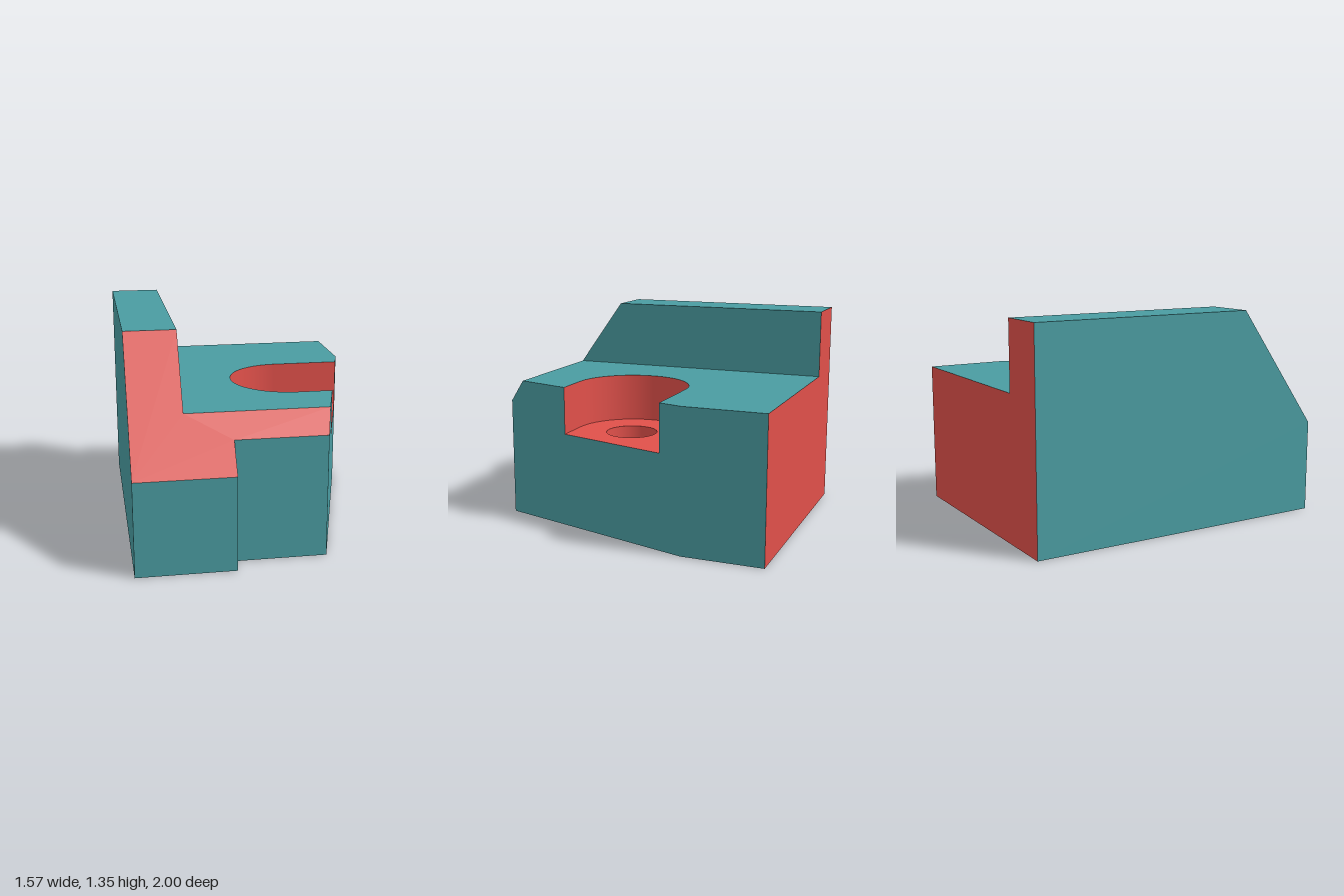
import * as THREE from 'three';

const V = (x, y, z) => new THREE.Vector3(x, y, z);

export function createModel() {
  const group = new THREE.Group();
  const teal = new THREE.MeshStandardMaterial({ color: 0x4a9ca1 });
  const red = new THREE.MeshStandardMaterial({ color: 0xe0504a });
  const redInside = new THREE.MeshStandardMaterial({ color: 0xe0504a, side: THREE.DoubleSide });

  const add = (name, geometry, material) => {
    const mesh = new THREE.Mesh(geometry, material);
    mesh.name = name;
    group.add(mesh);
    return mesh;
  };

  // Flat face through a loop of [x, y, z] corners, turned to look along "out"
  const face = (name, material, out, loop, hole) => {
    const pts = loop.map((p) => V(...p));
    const n = V(0, 0, 0);
    pts.forEach((p, i) => n.add(p.clone().cross(pts[(i + 1) % pts.length])));
    n.normalize();
    if (n.dot(V(...out)) < 0) n.negate();
    const u = V(0, 1, 0).cross(n);
    if (u.length() < 0.01) u.set(1, 0, 0);
    u.normalize();
    const v = n.clone().cross(u);
    const flat = (p) => new THREE.Vector2(p.dot(u), p.dot(v));
    const shape = new THREE.Shape(pts.map(flat));
    if (hole) shape.holes.push(new THREE.Path(hole.map((p) => flat(V(...p)))));
    const basis = new THREE.Matrix4().makeBasis(u, v, n);
    basis.setPosition(n.clone().multiplyScalar(n.dot(pts[0])));
    add(name, new THREE.ShapeGeometry(shape).applyMatrix4(basis), material);
  };

  // Main dimensions
  const W = 0.785, rib = -0.46, notch = -0.175, nose = 0.395;
  const top = 1.35, deck = 0.915, floor = 0.61, lip = 0.59, lipIn = 0.771;
  const zDeck = 0.767, zTop = 0.455, zIn = 0.87, zBend = -0.48;
  const cx = 0.3, cz = 0.0425, R = 0.3675, r = 0.163;
  const zA = cz - R, zB = cz + R;
  const edgeX = (z) => W + ((z - zBend) * (nose - W)) / (zIn - zBend);

  const arc = (rad, y, from, sweep, steps) => Array.from({ length: steps + 1 }, (_, i) => {
    const t = from + (sweep * i) / steps;
    return [cx + rad * Math.sin(t), y, cz + rad * Math.cos(t)];
  });
  const bore = (y) => arc(r, y, 0, Math.PI * 2, 40).slice(0, -1);
  const pocketArc = (y) => arc(R, y, Math.PI, Math.PI, 32);

  // Outer walls
  face('backWall', red, [0, 0, -1], [[-W, 0, -1], [W, 0, -1], [W, deck, -1],
    [rib, deck, -1], [rib, top, -1], [-W, top, -1]]);
  face('ribOuterWall', teal, [-1, 0, 0], [[-W, 0, -1], [-W, 0, 1], [-W, lip, 1],
    [-W, top, zTop], [-W, top, -1]]);
  face('straightSideWall', teal, [1, 0, 0], [[W, 0, -1], [W, 0, zBend],
    [W, deck, zBend], [W, deck, -1]]);
  face('angledSideWall', teal, [1, 0, 0], [[W, 0, zBend], [nose, 0, zIn], [nose, lipIn, zIn],
    [edgeX(zDeck), deck, zDeck], [edgeX(zB), deck, zB], [edgeX(zB), floor, zB],
    [edgeX(zA), floor, zA], [edgeX(zA), deck, zA], [W, deck, zBend]]);
  face('frontWall', teal, [0, 0, 1], [[-W, 0, 1], [notch, 0, 1], [notch, lip, 1], [-W, lip, 1]]);
  face('recessedFrontWall', teal, [0, 0, 1], [[notch, 0, zIn], [nose, 0, zIn],
    [nose, lipIn, zIn], [notch, lipIn, zIn]]);
  face('frontStep', teal, [1, 0, 0], [[notch, 0, zIn], [notch, 0, 1],
    [notch, lip, 1], [notch, lipIn, zIn]]);

  // Sloping front, rib and deck
  face('slopedFront', red, [0, 1, 1], [[-W, lip, 1], [notch, lip, 1], [notch, lipIn, zIn],
    [nose, lipIn, zIn], [edgeX(zDeck), deck, zDeck], [rib, deck, zDeck],
    [rib, top, zTop], [-W, top, zTop]]);
  face('ribInnerWall', teal, [1, 0, 0], [[rib, deck, -1], [rib, deck, zDeck],
    [rib, top, zTop], [rib, top, -1]]);
  face('ribTop', teal, [0, 1, 0], [[-W, top, -1], [rib, top, -1], [rib, top, zTop], [-W, top, zTop]]);
  face('deck', teal, [0, 1, 0], [[rib, deck, -1], [W, deck, -1], [W, deck, zBend],
    [edgeX(zA), deck, zA], ...pocketArc(deck), [edgeX(zB), deck, zB],
    [edgeX(zDeck), deck, zDeck], [rib, deck, zDeck]]);
  face('base', teal, [0, -1, 0], [[-W, 0, -1], [W, 0, -1], [W, 0, zBend], [nose, 0, zIn],
    [notch, 0, zIn], [notch, 0, 1], [-W, 0, 1]], bore(0));

  // Open-sided round pocket with a through hole
  face('pocketFloor', red, [0, 1, 0], [[edgeX(zA), floor, zA], ...pocketArc(floor),
    [edgeX(zB), floor, zB]], bore(floor));
  for (const [name, z, dir] of [['pocketBackWall', zA, 1], ['pocketFrontWall', zB, -1]]) {
    face(name, red, [0, 0, dir], [[cx, floor, z], [edgeX(z), floor, z],
      [edgeX(z), deck, z], [cx, deck, z]]);
  }
  add('pocketRoundWall', new THREE.CylinderGeometry(R, R, deck - floor, 32, 1, true, Math.PI, Math.PI),
    redInside).position.set(cx, (deck + floor) / 2, cz);
  add('throughHole', new THREE.CylinderGeometry(r, r, floor, 40, 1, true),
    redInside).position.set(cx, floor / 2, cz);

  return group;
}
